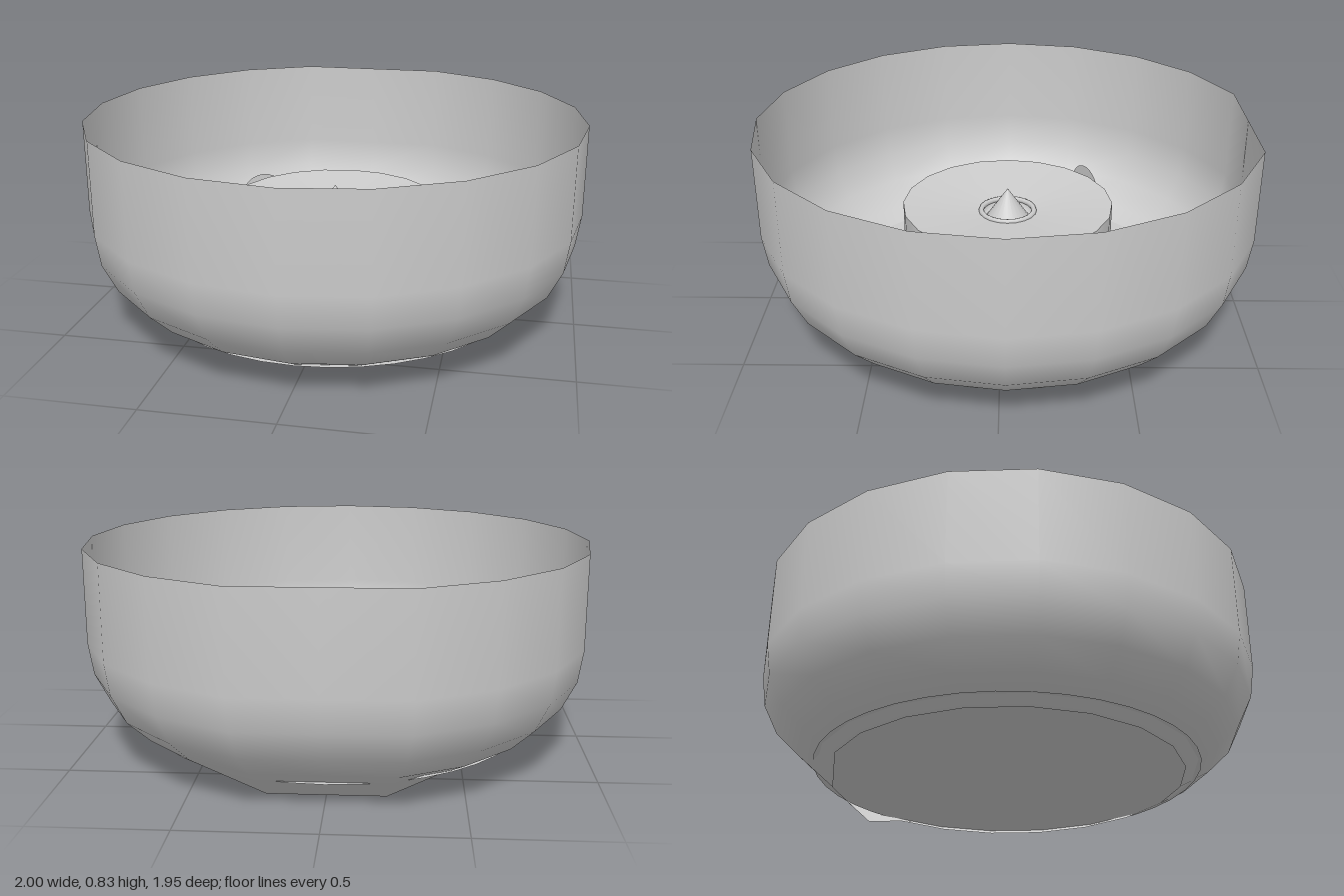
import * as THREE from 'three';

const SIDES = 20;
const AXIS_Z = -0.025; // the round parts share this axis

function createMaterial() {
  return new THREE.MeshStandardMaterial({ color: 0xcccccc, side: THREE.DoubleSide });
}

const profile = (pairs) => pairs.map(([r, y]) => new THREE.Vector2(r, y));

// Open bowl: rounded below, straight above, flattened at the back
function bowlGeometry() {
  const rings = [[0.707, 0.062], [0.831, 0.13], [0.924, 0.22], [0.981, 0.335], [1, 0.46], [1, 0.83]];
  const geo = new THREE.LatheGeometry(profile(rings), SIDES);
  const pos = geo.attributes.position;
  const back = SIDES / 2;
  rings.forEach(([r], j) => {
    // the middle back corner is pulled onto the line between its neighbours
    const flatZ = r * Math.cos(Math.PI * (1 - 1 / back));
    pos.setZ(back * rings.length + j, flatZ);
  });
  // lowest ring dips into a lip at the back
  for (let i = back - 1; i <= back + 1; i++) {
    pos.setY(i * rings.length, 0);
    pos.setZ(i * rings.length, -0.65);
  }
  return geo;
}

export function createModel() {
  const group = new THREE.Group();
  const material = createMaterial();

  function add(name, geometry, x, y, z) {
    const mesh = new THREE.Mesh(geometry, material);
    mesh.name = name;
    mesh.position.set(x, y, z);
    group.add(mesh);
    return mesh;
  }

  add('bowl', bowlGeometry(), 0, 0, AXIS_Z);

  // Flat floor, reaching just through the bowl wall
  const floor = new THREE.CircleGeometry(0.77, 40).rotateX(-Math.PI / 2);
  add('floor', floor, 0, 0.09, AXIS_Z);

  // Central drum: side wall and shallow dished top are separate to keep the edge sharp
  add('drumWall', new THREE.CylinderGeometry(0.43, 0.43, 0.377, SIDES, 1, true), 0, 0.2785, AXIS_Z);
  add('drumTop', new THREE.LatheGeometry(profile([[0.43, 0.467], [0.115, 0.43]]), SIDES), 0, 0, AXIS_Z);
  add('socket', new THREE.LatheGeometry(profile([[0.105, 0.435], [0.1, 0.4], [0, 0.4]]), SIDES), 0, 0, AXIS_Z);

  // Ring and pointed cone in the middle of the drum
  const ring = new THREE.TorusGeometry(0.109, 0.011, 8, SIDES).rotateX(Math.PI / 2);
  add('centreRing', ring, 0, 0.432, AXIS_Z);
  add('centreCone', new THREE.ConeGeometry(0.09, 0.13, SIDES), 0, 0.465, AXIS_Z);

  // Small balls beside the drum: radius, x, z
  [[0.045, 0.28, -0.38], [0.026, 0.275, -0.52], [0.015, -0.246, -0.46]].forEach(([r, x, z]) => {
    add('smallBall', new THREE.SphereGeometry(r, 16, 12), x, 0.345, z);
  });

  // Thin upright disc beside the drum
  const disc = add('uprightDisc', new THREE.CircleGeometry(0.1, 24), -0.4, 0.35, -0.37);
  disc.rotation.y = Math.atan2(0.1, 0.17);

  return group;
}
